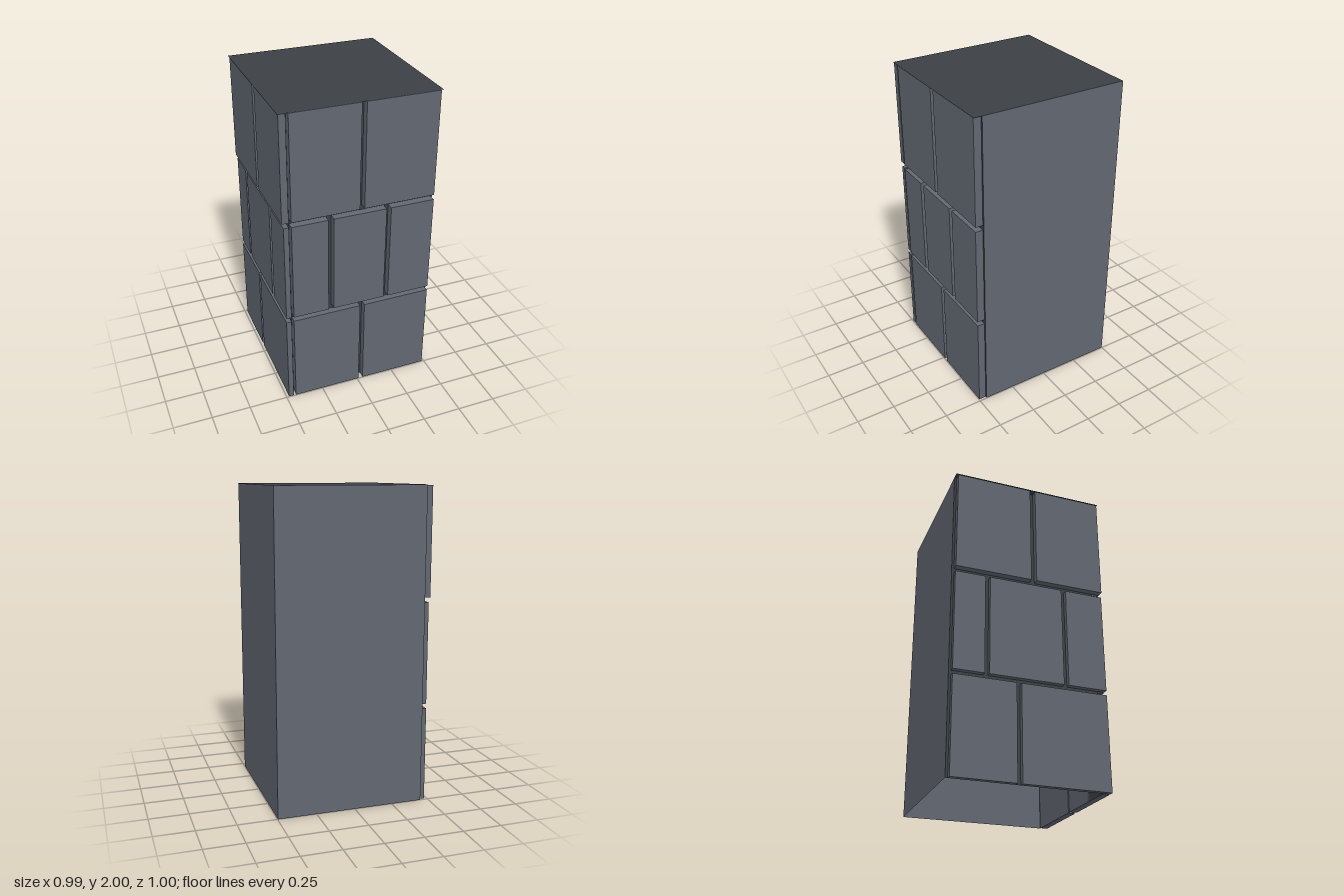
import * as THREE from 'three';

const X = 0.497, Z = 0.5, IN = 0.45, H = 2;

// Rows of facing slabs: height range, then spans along the front (x) and side (z)
const ROWS = [
  { y: [0, 0.607], front: [[-0.435, 0.01], [0.04, 0.485]], side: [[-0.485, -0.09], [-0.06, 0.495]], fz: 0.497, sx: 0.483 },
  { y: [0.638, 1.287], front: [[-0.435, -0.205], [-0.17, 0.17], [0.2, 0.485]], side: [[-0.485, -0.29], [-0.26, 0.215], [0.245, 0.495]], fz: 0.499, sx: 0.482 },
  { y: [1.318, 1.997], front: [[-0.435, -0.005], [0.025, 0.485]], side: [[-0.485, 0.01], [0.045, 0.495]], fz: 0.498, sx: 0.492 },
];

export function createModel() {
  const group = new THREE.Group();
  group.name = 'stoneBlock';

  const stone = new THREE.MeshStandardMaterial({ color: 0x626872, side: THREE.DoubleSide });
  stone.name = 'stone';
  const mortar = new THREE.MeshStandardMaterial({ color: 0x3c4145, side: THREE.DoubleSide });
  mortar.name = 'mortar';

  const add = (name, geometry, material, x, y, z) => {
    const mesh = new THREE.Mesh(geometry, material);
    mesh.name = name;
    mesh.position.set(x, y, z);
    group.add(mesh);
  };

  // Box spanning two corners
  const slab = (name, x0, x1, y0, y1, z0, z1) =>
    add(name, new THREE.BoxGeometry(x1 - x0, y1 - y0, z1 - z0), stone,
      (x0 + x1) / 2, (y0 + y1) / 2, (z0 + z1) / 2);

  // Open-bottomed shell: mortar behind the slabs, plain stone elsewhere
  const width = X + IN, depth = Z + IN, cx = (X - IN) / 2, cz = (IN - Z) / 2;
  const wall = (w, turn) => new THREE.PlaneGeometry(w, H).rotateY(turn);
  add('frontMortar', wall(width, 0), mortar, cx, H / 2, IN);
  add('sideMortar', wall(depth, -Math.PI / 2), mortar, -IN, H / 2, cz);
  add('backWall', wall(width, Math.PI), stone, cx, H / 2, -Z);
  add('plainSideWall', wall(depth, Math.PI / 2), stone, X, H / 2, cz);

  // Flat top overhanging the mortar
  add('top', new THREE.PlaneGeometry(2 * X, 2 * Z).rotateX(-Math.PI / 2), mortar, 0, H, 0);

  // Staggered facing slabs on two sides
  for (const { y, front, side, fz, sx } of ROWS) {
    for (const [a, b] of front) slab('frontSlab', a, b, y[0], y[1], IN, fz);
    for (const [a, b] of side) slab('sideSlab', -sx, -IN, y[0], y[1], a, b);
  }
  return group;
}
